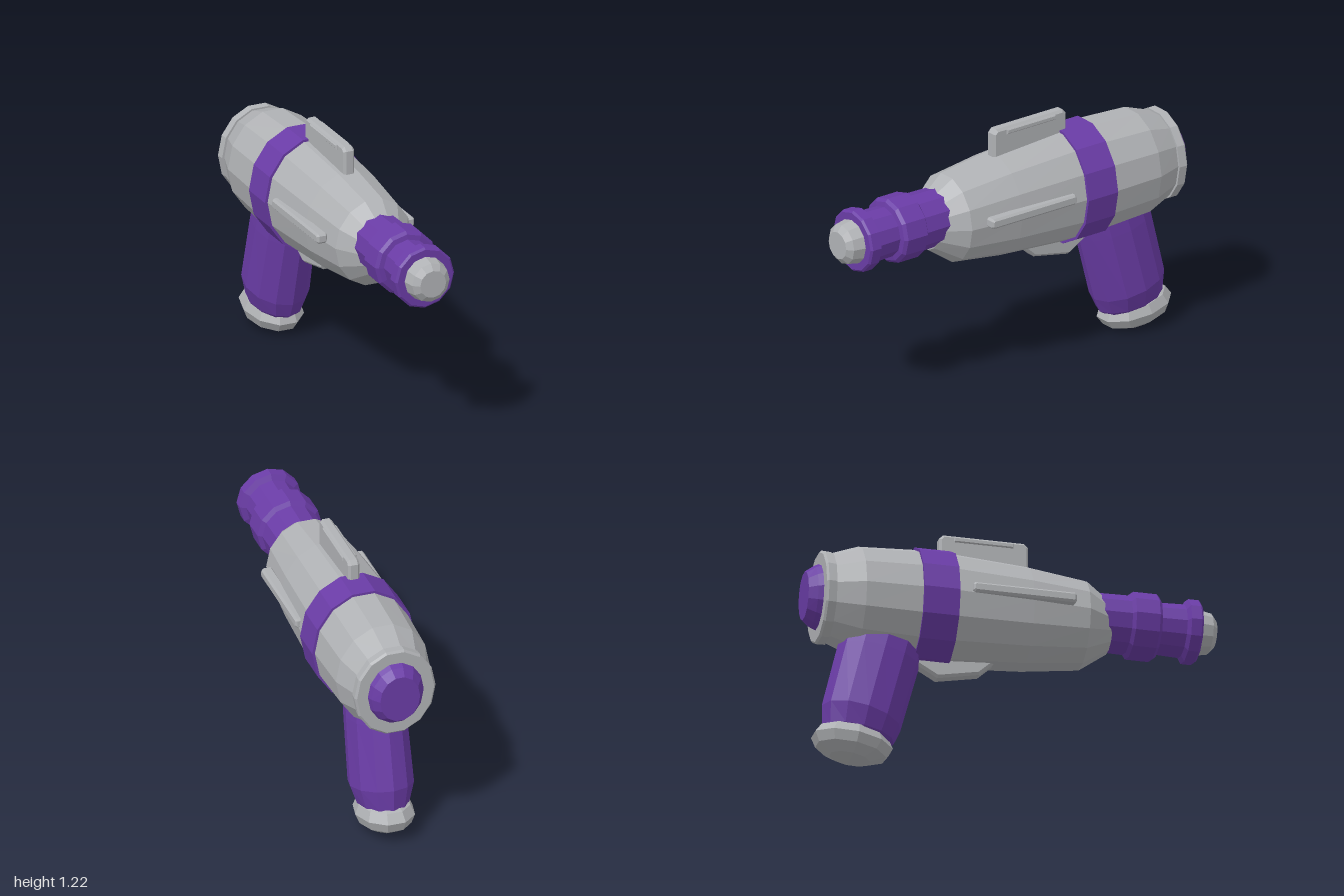
import * as THREE from 'three';

const grey = new THREE.MeshStandardMaterial({ color: 0xb0b2b5, flatShading: true });
grey.name = 'light grey metal';
const purple = new THREE.MeshStandardMaterial({ color: 0x6a3ca6, flatShading: true });
purple.name = 'purple plastic';

// Capped skin over elliptical rings [rx, centreY, centreZ, axisY, axisZ]
function loft(rings, sides) {
  const pos = [], idx = [];
  for (const [rx, cy, cz, ay, az] of rings) {
    for (let j = 0; j < sides; j++) {
      const a = (j / sides) * Math.PI * 2, s = Math.sin(a);
      pos.push(rx * Math.cos(a), cy + s * ay, cz + s * az);
    }
  }
  const last = rings.length - 1;
  for (let i = 0; i < last; i++) {
    for (let j = 0; j < sides; j++) {
      const k = (j + 1) % sides;
      const a = i * sides + j, b = a + sides, c = (i + 1) * sides + k, d = i * sides + k;
      idx.push(a, b, c, a, c, d);
    }
  }
  for (let j = 1; j < sides - 1; j++) {
    const e = last * sides;
    idx.push(0, j, j + 1, e, e + j + 1, e + j);
  }
  const g = new THREE.BufferGeometry();
  g.setAttribute('position', new THREE.Float32BufferAttribute(pos, 3));
  g.setIndex(idx);
  const flat = g.toNonIndexed();
  flat.computeVertexNormals();
  return flat;
}

// Upright rings along the z axis: rows of [z, rx, ry]
const along = (rows, y, sides) =>
  loft(rows.map(([z, rx, ry = rx]) => [rx, y, z, ry, 0]), sides);

// Side outline of [z, y] points given a width in x with chamfered edges
function plate(points, halfWidth, bevel) {
  const shape = new THREE.Shape(points.map(([z, y]) => new THREE.Vector2(z, y)));
  const g = new THREE.ExtrudeGeometry(shape, {
    depth: 2 * (halfWidth - bevel), bevelEnabled: true, bevelThickness: bevel,
    bevelSize: bevel, bevelOffset: -bevel, bevelSegments: 1,
  });
  g.translate(0, 0, bevel - halfWidth);
  return g.rotateY(-Math.PI / 2);
}

export function createModel() {
  const model = new THREE.Group();
  model.name = 'toyBlaster';
  const add = (name, geometry, material) => {
    const mesh = new THREE.Mesh(geometry, material);
    mesh.name = name;
    model.add(mesh);
    return mesh;
  };

  // Main body with its band, rear rim and rear plug
  add('body', along([
    [0.48, 0.115, 0.128], [0.35, 0.2, 0.22], [0.07, 0.225, 0.257], [-0.3, 0.243, 0.282],
    [-0.48, 0.244, 0.282], [-0.75, 0.235, 0.268], [-0.89, 0.187, 0.218],
  ], 0.84, 14), grey);
  add('bodyBand', along([[-0.3, 0.257, 0.294], [-0.475, 0.257, 0.294]], 0.84, 14), purple);
  add('rearRim', along([
    [-0.885, 0.2, 0.228], [-0.925, 0.203, 0.23], [-0.935, 0.193, 0.22],
  ], 0.84, 14), grey);
  add('rearPlug', along([[-0.92, 0.145, 0.17], [-0.96, 0.13, 0.15], [-1, 0.1, 0.12]], 0.84, 14), purple);

  // Stepped barrel and tip
  add('barrel', along([
    [0.915, 0.145], [0.905, 0.155], [0.855, 0.155], [0.84, 0.128], [0.72, 0.124],
    [0.715, 0.148], [0.7, 0.162], [0.585, 0.162], [0.57, 0.142], [0.35, 0.138],
  ], 0.867, 12), purple);
  add('barrelTip', along([[1, 0.068], [0.975, 0.098], [0.9, 0.112]], 0.867, 12), grey);

  // Sight with a rib on each side
  add('sight', plate([
    [0.09, 1.06], [0.09, 1.205], [0.07, 1.225], [-0.325, 1.225], [-0.345, 1.205], [-0.345, 1.06],
  ], 0.029, 0.012), grey);
  add('sightRib', plate([[0.015, 1.19], [0.015, 1.215], [-0.275, 1.215], [-0.275, 1.19]], 0.036, 0.005), grey);

  // Side rails
  for (const side of [-1, 1]) {
    const rail = add(side > 0 ? 'leftRail' : 'rightRail', plate([
      [0.27, 0.85], [0.27, 0.88], [0.26, 0.89], [-0.225, 0.89],
      [-0.235, 0.88], [-0.235, 0.85], [-0.225, 0.84], [0.26, 0.84],
    ], 0.028, 0.01), grey);
    rail.position.x = side * 0.228;
  }

  // Trigger piece under the body
  add('trigger', plate([
    [-0.06, 0.6], [-0.09, 0.57], [-0.15, 0.515], [-0.355, 0.475], [-0.46, 0.535], [-0.5, 0.6],
  ], 0.034, 0.012), grey);

  // Grip: rows of half width, front [z, y] and back [z, y]
  const gripRows = [
    [0.14, [-0.42, 0.6], [-0.81, 0.69]],
    [0.145, [-0.44, 0.52], [-0.835, 0.6]],
    [0.154, [-0.53, 0.185], [-0.912, 0.28]],
    [0.125, [-0.562, 0.115], [-0.91, 0.17]],
    [0.1, [-0.6, 0.09], [-0.88, 0.13]],
  ];
  add('grip', loft(gripRows.map(([w, f, b]) => [
    w, (f[1] + b[1]) / 2, (f[0] + b[0]) / 2, (b[1] - f[1]) / 2, (b[0] - f[0]) / 2,
  ]), 12), purple);

  // Rounded grip foot
  const foot = add('gripFoot', new THREE.SphereGeometry(1, 10, 6), grey);
  foot.scale.set(0.143, 0.094, 0.2);
  foot.rotation.x = 0.14;
  foot.position.set(0, 0.097, -0.765);

  return model;
}
